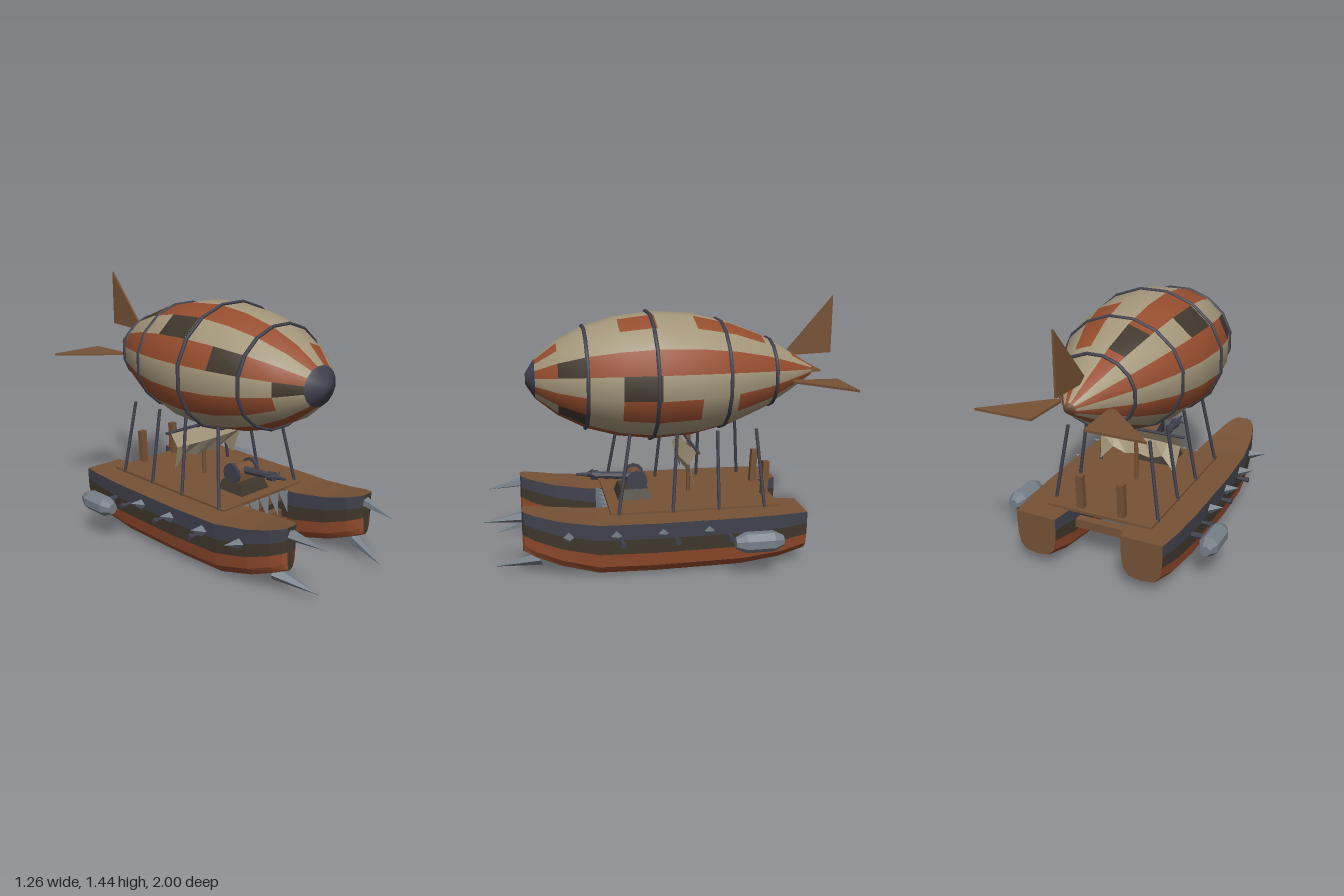
import * as THREE from 'three';

const mat = (name, color) => Object.assign(new THREE.MeshStandardMaterial({ color }), { name });
const M = {
  cream: mat('canvas', 0xa3967a), rust: mat('rust red', 0x964d2e), patch: mat('dark patch', 0x40382d),
  wood: mat('wood', 0x775236), iron: mat('dark iron', 0x40414d), steel: mat('steel', 0x767f88),
};
const sail = mat('sail cloth', 0xa3967a);
sail.side = THREE.DoubleSide;

const V = (x, y, z) => new THREE.Vector3(x, y, z);

function flat(g) {
  const n = g.index ? g.toNonIndexed() : g;
  n.computeVertexNormals();
  return n;
}

// Skin over closed rings of points, coloured per face by colourOf(row, segment)
function loft(rings, colourOf, capA, capB) {
  const n = rings[0].length, faces = new Map();
  const add = (c, ...t) => { if (!faces.has(c)) faces.set(c, []); faces.get(c).push(...t); };
  for (let r = 0; r < rings.length - 1; r++)
    for (let k = 0; k < n; k++) {
      const a = r * n + k, b = r * n + (k + 1) % n;
      add(colourOf(r, k), a, a + n, b, b, a + n, b + n);
    }
  const last = (rings.length - 1) * n;
  for (let k = 1; k < n - 1; k++) {
    add(capA, 0, k, k + 1);
    add(capB, last, last + k + 1, last + k);
  }
  const g = new THREE.BufferGeometry().setFromPoints(rings.flat());
  const index = [], mats = [];
  for (const [c, t] of faces) {
    g.addGroup(index.length, t.length, mats.length);
    mats.push(c);
    index.push(...t);
  }
  g.setIndex(index);
  g.computeVertexNormals();
  return { g, mats };
}

export function createModel() {
  const root = new THREE.Group();
  const add = (name, geo, m, x = 0, y = 0, z = 0) => {
    const o = new THREE.Mesh(geo, m);
    o.name = name;
    o.position.set(x, y, z);
    root.add(o);
    return o;
  };
  const box = (name, m, w, h, d, x, y, z) => add(name, new THREE.BoxGeometry(w, h, d), m, x, y, z);
  // Round bar or spike from point a to point b
  const bar = (name, m, a, b, ra, rb = ra, sides = 8) => {
    const o = add(name, flat(new THREE.CylinderGeometry(rb, ra, a.distanceTo(b), sides)), m);
    o.position.copy(a).add(b).multiplyScalar(0.5);
    o.quaternion.setFromUnitVectors(V(0, 1, 0), b.clone().sub(a).normalize());
    return o;
  };
  const plate = (points, t) => new THREE.ExtrudeGeometry(
    new THREE.Shape(points.map(p => new THREE.Vector2(...p))), { depth: t, bevelEnabled: false }).translate(0, 0, -t / 2);

  // Balloon: sixteen gores, [z, horizontal radius]
  const CY = 1.017, FLAT = 0.87;
  const profile = [[0.75, 0.035], [0.70, 0.125], [0.58, 0.235], [0.43, 0.322], [0.25, 0.38], [0.05, 0.408],
    [-0.17, 0.392], [-0.38, 0.338], [-0.57, 0.25], [-0.75, 0.13], [-0.88, 0.035]];
  const rings = profile.map(([z, r]) => Array.from({ length: 16 }, (_, k) => {
    const a = (k - 0.5) * Math.PI / 8;
    return V(r * Math.cos(a), CY + r * FLAT * Math.sin(a), z);
  }));
  // Patches that break the stripes, keyed by row,gore
  const swaps = {
    '4,0': 'patch', '2,1': 'patch', '2,14': 'patch', '1,8': 'patch', '3,7': 'patch', '5,6': 'patch', '7,5': 'patch',
    '2,3': 'cream', '3,3': 'cream', '5,3': 'cream', '8,3': 'cream', '6,15': 'cream', '1,9': 'cream', '3,15': 'cream',
  };
  const skin = loft(rings, (r, k) => r === 0 ? M.iron : M[swaps[`${r},${k}`] || (k % 2 ? 'rust' : 'cream')], M.iron, M.wood);
  add('balloon', skin.g, skin.mats);
  for (const [z, r] of [[0.43, 0.325], [0.07, 0.41], [-0.33, 0.352], [-0.62, 0.222]]) {
    const hoop = new THREE.TorusGeometry(r, 0.011, 6, 16).rotateZ(Math.PI / 16).scale(1, FLAT, 1);
    add('balloonHoop', hoop, M.iron, 0, CY, z);
  }

  // Tail fins
  add('topFin', plate([[-0.72, 1.115], [-0.74, 1.105], [-1, 1.115], [-1, 1.44]], 0.012).rotateY(-Math.PI / 2), M.wood);
  for (const s of [1, -1])
    add('sideFin', plate([[0.13 * s, -0.72], [0.17 * s, -0.73], [0.46 * s, -1], [0.14 * s, -1]], 0.012)
      .rotateX(Math.PI / 2), M.wood, 0, 0.98, 0);

  // Hull stations: [z, half width, keel height, deck height]
  const stations = [[-0.75, 0.118, 0.07, 0.305], [-0.6, 0.138, 0.03, 0.305], [-0.38, 0.15, 0.004, 0.305],
    [0.1, 0.154, 0, 0.305], [0.4, 0.144, 0.005, 0.308], [0.6, 0.118, 0.055, 0.332],
    [0.73, 0.085, 0.105, 0.36], [0.79, 0.05, 0.135, 0.374], [0.8, 0.025, 0.14, 0.376]];
  const half = [[1, 1], [1, 0.72], [0.97, 0.45], [0.87, 0.2], [0.62, 0.05]];
  const section = [...half, [0, 0], ...half.slice().reverse().map(([w, f]) => [-w, f])];
  const bands = [M.iron, M.patch, M.rust, M.rust, M.wood];
  const hull = loft(
    stations.map(([z, w, lo, hi]) => section.map(([u, f]) => V(u * w, lo + f * (hi - lo), z))),
    (r, k) => k === 10 ? M.wood : bands[Math.min(k, 9 - k)], M.wood, M.patch);
  const hullGeo = flat(hull.g);

  const podGeo = flat(new THREE.LatheGeometry([[0, -0.13], [0.03, -0.13], [0.056, -0.075], [0.056, 0.075],
    [0.03, 0.13], [0, 0.13]].map(p => new THREE.Vector2(...p)), 8).rotateY(Math.PI / 8).rotateX(Math.PI / 2));

  for (const s of [1, -1]) {
    add('hull', hullGeo, hull.mats, 0.31 * s);
    // Ram spikes on the bow
    bar('upperRam', M.steel, V(0.31 * s, 0.335, 0.76), V(0.272 * s, 0.30, 1), 0.036, 0, 5);
    bar('lowerRam', M.steel, V(0.315 * s, 0.095, 0.7), V(0.245 * s, 0.03, 0.955), 0.04, 0, 5);
    // Side spikes and guns
    for (const z of [-0.19, 0.06, 0.31, 0.56])
      bar('sideSpike', M.steel, V((z > 0.5 ? 0.42 : 0.455) * s, 0.243, z), V(0.54 * s, 0.27, z), 0.033, 0, 4);
    for (const z of [-0.3, -0.01, 0.28]) {
      bar('sideGun', M.iron, V(0.44 * s, 0.215, z), V(0.52 * s, 0.215, z), 0.011);
      bar('gunMuzzle', M.iron, V(0.505 * s, 0.215, z), V(0.525 * s, 0.215, z), 0.016);
    }
    // Engine pod on its arm
    bar('podArm', M.iron, V(0.44 * s, 0.213, -0.435), V(0.55 * s, 0.213, -0.435), 0.016);
    add('enginePod', podGeo, M.steel, 0.58 * s, 0.213, -0.435);
    // Balloon struts
    for (const [z0, z1] of [[0.28, 0.205], [-0.02, -0.055], [-0.28, -0.28], [-0.54, -0.5]])
      bar('strut', M.iron, V(0.308 * s, 0.305, z0), V(0.24 * s, 0.74, z1), 0.0095, 0.0095, 6);
    // Stern posts
    box('sternPost', M.wood, 0.04, 0.205, 0.036, 0.122 * s, 0.41, -0.592).rotation.x = -0.05;
  }

  // Deck, cross beams and front boards
  box('deck', M.wood, 0.62, 0.016, 0.95, 0, 0.31, -0.153);
  for (const z of [-0.55, -0.35, -0.15, 0.05]) box('crossBeam', M.wood, 0.4, 0.05, 0.05, 0, 0.2, z);
  box('upperJaw', M.wood, 0.4, 0.07, 0.03, 0, 0.27, 0.29);
  box('lowerJaw', M.wood, 0.4, 0.13, 0.04, 0, 0.115, 0.29);
  for (let i = -2; i <= 2; i++) {
    bar('upperTooth', M.steel, V(0.079 * i, 0.302, 0.325), V(0.079 * i, 0.18, 0.36), 0.037, 0, 4);
    bar('lowerTooth', M.steel, V(0.079 * i, 0.078, 0.32), V(0.079 * i, 0.145, 0.35), 0.028, 0, 4);
  }

  // Deck gun: tapered base, drum, barrel
  const base = flat(new THREE.CylinderGeometry(0.87, 1.1, 0.06, 4).rotateY(Math.PI / 4));
  add('gunBase', base.scale(0.141, 1, 0.127), M.patch, 0, 0.345, 0.16);
  box('gunCarriage', M.wood, 0.15, 0.06, 0.09, 0, 0.395, 0.145);
  bar('gunDrum', M.wood, V(-0.07, 0.418, 0.145), V(0.07, 0.418, 0.145), 0.045, 0.045, 12);
  for (const s of [1, -1])
    bar('drumWheel', M.iron, V(0.065 * s, 0.418, 0.145), V(0.085 * s, 0.418, 0.145), 0.06, 0.06, 12);
  bar('gunBarrel', M.iron, V(0, 0.422, 0.09), V(0, 0.448, 0.4), 0.026, 0.018);
  bar('gunCollar', M.iron, V(0, 0.444, 0.36), V(0, 0.448, 0.4), 0.028);
  bar('harpoonTip', M.iron, V(0, 0.448, 0.39), V(0, 0.455, 0.485), 0.017, 0.006, 6);
  for (const s of [1, -1])
    bar('harpoonBarb', M.iron, V(0, 0.45, 0.42), V(0.06 * s, 0.458, 0.385), 0.012, 0.004, 4);

  // Mast, yard and ragged sail
  bar('mast', M.wood, V(0, 0.31, -0.167), V(0, 0.69, -0.167), 0.012);
  bar('yard', M.iron, V(-0.29, 0.63, -0.165), V(0.29, 0.63, -0.165), 0.009);
  const cloth = new THREE.PlaneGeometry(1, 1, 6, 2), p = cloth.attributes.position;
  const hem = [0.47, 0.455, 0.485, 0.4];
  for (let i = 0; i < p.count; i++) {
    const col = i % 7 - 3, row = Math.floor(i / 7), c = Math.abs(col);
    const x = col / 3 * [0.262, 0.25, 0.232][row];
    p.setXYZ(i, x, [0.625, 0.55, hem[c]][row], [-0.14, -0.1, -0.145][row] - 0.002 * c * c);
  }
  add('sail', flat(cloth), sail);
  return root;
}
